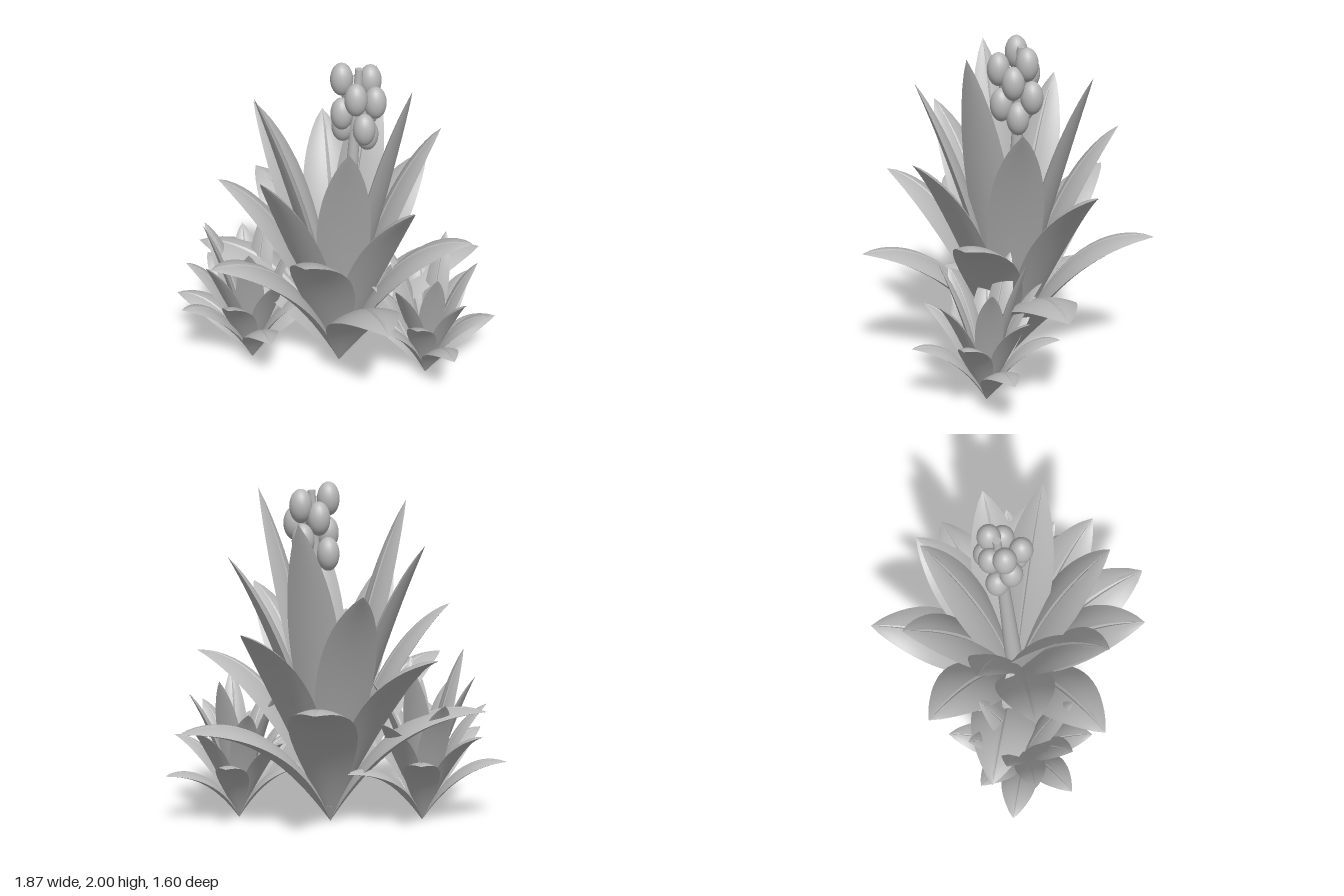
import * as THREE from 'three';
import { toCreasedNormals } from 'three/addons/utils/BufferGeometryUtils.js';

const stoneGrey = new THREE.MeshStandardMaterial({ color: 0xb8b8b8 });
const lerp = THREE.MathUtils.lerp;

// Compass angles of the leaves, lowest first, close to the golden angle
const LEAF_ANGLES = [0, 218, 92, 302, 171, 37, 248, 124, 338, 200, 72, 281, 153, 13, 229, 104, 316, 181, 50];

// Closed lens cross-section in half-widths: rounded underside, domed and grooved top
function leafSection() {
  const pts = [];
  const lower = [-1, -0.75, -0.5, -0.25, 0, 0.25, 0.5, 0.75];
  const upper = [1, 0.8, 0.55, 0.3, 0.07, 0, -0.07, -0.3, -0.55, -0.8];
  for (const u of lower) pts.push([u, -0.17 * (1 - u * u)]);
  for (const u of upper) pts.push([u, 0.27 * (1 - u * u) - (u === 0 ? 0.06 : 0)]);
  return pts;
}

// Leaf swept along an arching curve from the origin to its tip
function leafGeometry(angle, reach, height, bow, halfWidth) {
  const out = new THREE.Vector3(Math.cos(angle), 0, Math.sin(angle));
  const up = new THREE.Vector3(0, 1, 0);
  const at = (r, y) => out.clone().multiplyScalar(r).addScaledVector(up, y);
  const curve = new THREE.QuadraticBezierCurve3(at(0, 0), at(reach * 0.43, height * bow), at(reach, height));
  const side = out.clone().cross(up);
  const section = leafSection();
  const rows = 18, n = section.length;
  const positions = [], index = [];
  for (let i = 0; i <= rows; i++) {
    const t = i / rows;
    const centre = curve.getPoint(t);
    const normal = side.clone().cross(curve.getTangent(t));
    const w = halfWidth * Math.max(0.008, Math.pow(Math.max(0, Math.sin(Math.PI * Math.pow(t, 1.08))), 0.82));
    for (const [u, v] of section) {
      const p = centre.clone().addScaledVector(side, u * w).addScaledVector(normal, v * w);
      positions.push(p.x, p.y, p.z);
    }
  }
  for (let i = 0; i < rows; i++) {
    for (let j = 0; j < n; j++) {
      const a = i * n + j, b = i * n + (j + 1) % n;
      index.push(a, a + n, b, b, a + n, b + n);
    }
  }
  const geometry = new THREE.BufferGeometry();
  geometry.setAttribute('position', new THREE.Float32BufferAttribute(positions, 3));
  geometry.setIndex(index);
  return toCreasedNormals(geometry, 0.6);
}

// Rosette: low leaves arch wide, later ones stand taller and straighter
function rosette(name, geometries, x, z, scale) {
  const group = new THREE.Group();
  group.name = name;
  for (const geometry of geometries) {
    const leaf = new THREE.Mesh(geometry, stoneGrey);
    leaf.name = 'leaf';
    group.add(leaf);
  }
  group.position.set(x, 0, z);
  group.scale.setScalar(scale);
  return group;
}

export function createModel() {
  const model = new THREE.Group();
  model.name = 'succulentCluster';

  const leaves = LEAF_ANGLES.map((deg, i) => {
    const k = i / (LEAF_ANGLES.length - 1);
    return leafGeometry(THREE.MathUtils.degToRad(deg), lerp(0.93, 0.455, k), lerp(0.64, 1.95, k),
      lerp(1.08, 0.6, Math.pow(k, 0.8)), lerp(0.2, 0.145, k));
  });
  model.add(rosette('mainPlant', leaves, 0, -0.08, 1));
  // The offshoots lack the innermost leaves
  model.add(rosette('rightOffshoot', leaves.slice(0, 18), -0.5, -0.3, 0.54));
  model.add(rosette('leftOffshoot', leaves.slice(0, 17), 0.46, 0.22, 0.49));

  // Flower stalk, leaning slightly to the left
  const foot = new THREE.Vector3(0, 0.11, -0.08), head = new THREE.Vector3(0.13, 1.955, -0.1);
  const axis = head.clone().sub(foot);
  const stalk = new THREE.Mesh(new THREE.CylinderGeometry(0.022, 0.06, axis.length(), 16), stoneGrey);
  stalk.name = 'flowerStalk';
  stalk.position.copy(foot).add(head).multiplyScalar(0.5);
  stalk.quaternion.setFromUnitVectors(new THREE.Vector3(0, 1, 0), axis.normalize());
  model.add(stalk);

  // Egg-shaped buds spiralling around the stalk head
  const budGeometry = new THREE.SphereGeometry(1, 20, 14).scale(0.064, 0.095, 0.064);
  const buds = [
    [0.03, 1.905, -0.11], [0.2, 1.87, -0.11], [0.07, 1.825, 0.01], [0.11, 1.8, -0.155], [0.2, 1.77, -0.03],
    [0.02, 1.71, -0.08], [0.2, 1.68, -0.14], [0.12, 1.635, 0.01], [0.05, 1.6, -0.15], [0.17, 1.56, -0.07]
  ];
  for (const [x, y, z] of buds) {
    const bud = new THREE.Mesh(budGeometry, stoneGrey);
    bud.name = 'bud';
    bud.position.set(x, y, z);
    model.add(bud);
  }
  return model;
}
